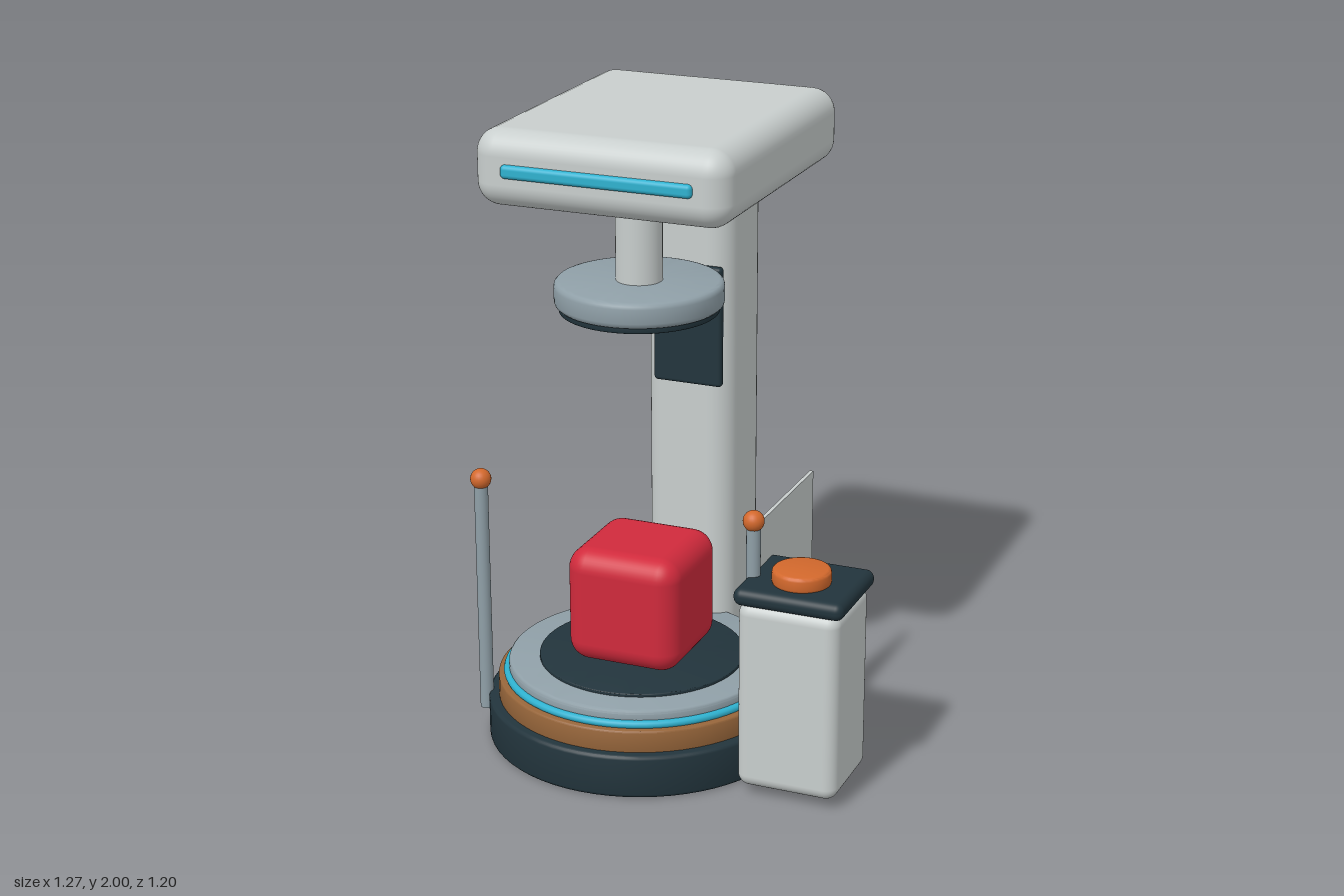
import * as THREE from 'three';
import { RoundedBoxGeometry } from 'three/addons/geometries/RoundedBoxGeometry.js';
import { toCreasedNormals } from 'three/addons/utils/BufferGeometryUtils.js';

const mat = (name, color) => {
  const m = new THREE.MeshStandardMaterial({ color });
  m.name = name;
  return m;
};

export function createModel() {
  const shell = mat('pale shell', 0xc8cecd);
  const steel = mat('steel grey', 0x8f9fa7);
  const dark = mat('dark slate', 0x22343c);
  const bronze = mat('bronze', 0x96653a);
  const orange = mat('orange', 0xd2682c);
  const cyan = mat('cyan', 0x2fb2d0);
  const red = mat('red', 0xd02a3c);

  const model = new THREE.Group();
  const CX = -0.147, CZ = 0.11; // axis of the turntable and press

  const add = (name, geometry, material, x, y, z) => {
    const mesh = new THREE.Mesh(geometry, material);
    mesh.name = name;
    mesh.position.set(x, y, z);
    model.add(mesh);
    return mesh;
  };

  // rounded box given by its min and max corners
  const box = (name, material, [x0, y0, z0], [x1, y1, z1], radius) =>
    add(name, new RoundedBoxGeometry(x1 - x0, y1 - y0, z1 - z0, 5, radius), material,
      (x0 + x1) / 2, (y0 + y1) / 2, (z0 + z1) / 2);

  // disc with bevelled rims, from y0 to y1
  const disc = (name, material, r, y0, y1, bevel, x = CX, z = CZ) => {
    const pts = [[0, y0], [r - bevel, y0]];
    for (const [cy, start] of [[y0 + bevel, -90], [y1 - bevel, 0]])
      for (let i = 0; i <= 3; i++) {
        const a = THREE.MathUtils.degToRad(start + i * 30);
        pts.push([r - bevel + Math.cos(a) * bevel, cy + Math.sin(a) * bevel]);
      }
    pts.push([0, y1]);
    const profile = pts.map(([px, py]) => new THREE.Vector2(Math.max(px, 0), py));
    return add(name, toCreasedNormals(new THREE.LatheGeometry(profile, 64), 0.6), material, x, 0, z);
  };

  // turntable stack
  disc('base', dark, 0.49, 0, 0.14, 0.012);
  disc('bronzeRing', bronze, 0.458, 0.13, 0.21, 0.006);
  const glow = add('glowRing', new THREE.TorusGeometry(0.428, 0.013, 10, 72), cyan, CX, 0.22, CZ);
  glow.rotation.x = Math.PI / 2;
  disc('turntable', steel, 0.424, 0.205, 0.262, 0.012);
  disc('turntableMat', dark, 0.326, 0.255, 0.272, 0.003);
  box('workpiece', red, [CX - 0.188, 0.28, CZ - 0.188], [CX + 0.188, 0.656, CZ + 0.188], 0.07);

  // column with back strip and front screen
  box('column', shell, [-0.295, 0.11, -0.563], [0.001, 1.87, -0.255], 0.075);
  box('backStrip', orange, [-0.189, 0.183, -0.6], [-0.105, 1.765, -0.55], 0.014);
  box('screen', dark, [-0.25, 1.06, -0.262], [-0.018, 1.455, -0.231], 0.012);

  // overhead head and press
  box('head', shell, [-0.554, 1.765, -0.543], [0.261, 2, 0.421], 0.075);
  box('lightBar', cyan, [-0.449, 1.864, 0.4], [0.156, 1.906, 0.436], 0.014);
  add('pressShaft', new THREE.CylinderGeometry(0.072, 0.072, 0.31, 32), shell, CX, 1.645, CZ);
  disc('pressDisc', steel, 0.26, 1.425, 1.505, 0.018);
  disc('pressPad', dark, 0.246, 1.408, 1.435, 0.005);

  // sensor posts
  for (const [side, x] of [['right', -0.603], ['left', 0.307]]) {
    add(side + 'Post', new THREE.CylinderGeometry(0.022, 0.022, 0.77, 20), steel, x, 0.465, 0.309);
    add(side + 'PostTip', new THREE.SphereGeometry(0.033, 24, 16), orange, x, 0.86, 0.309);
  }

  // side guard plate
  add('guardPlate', new THREE.BoxGeometry(0.012, 0.63, 0.52), shell, 0.3, 0.518, 0.047);

  // control pedestal
  box('pedestal', shell, [0.297, 0.03, 0.13], [0.619, 0.64, 0.43], 0.04);
  box('pedestalLid', dark, [0.286, 0.63, 0.123], [0.634, 0.686, 0.437], 0.026);
  disc('button', orange, 0.09, 0.68, 0.731, 0.012, 0.46, 0.303);

  return model;
}
